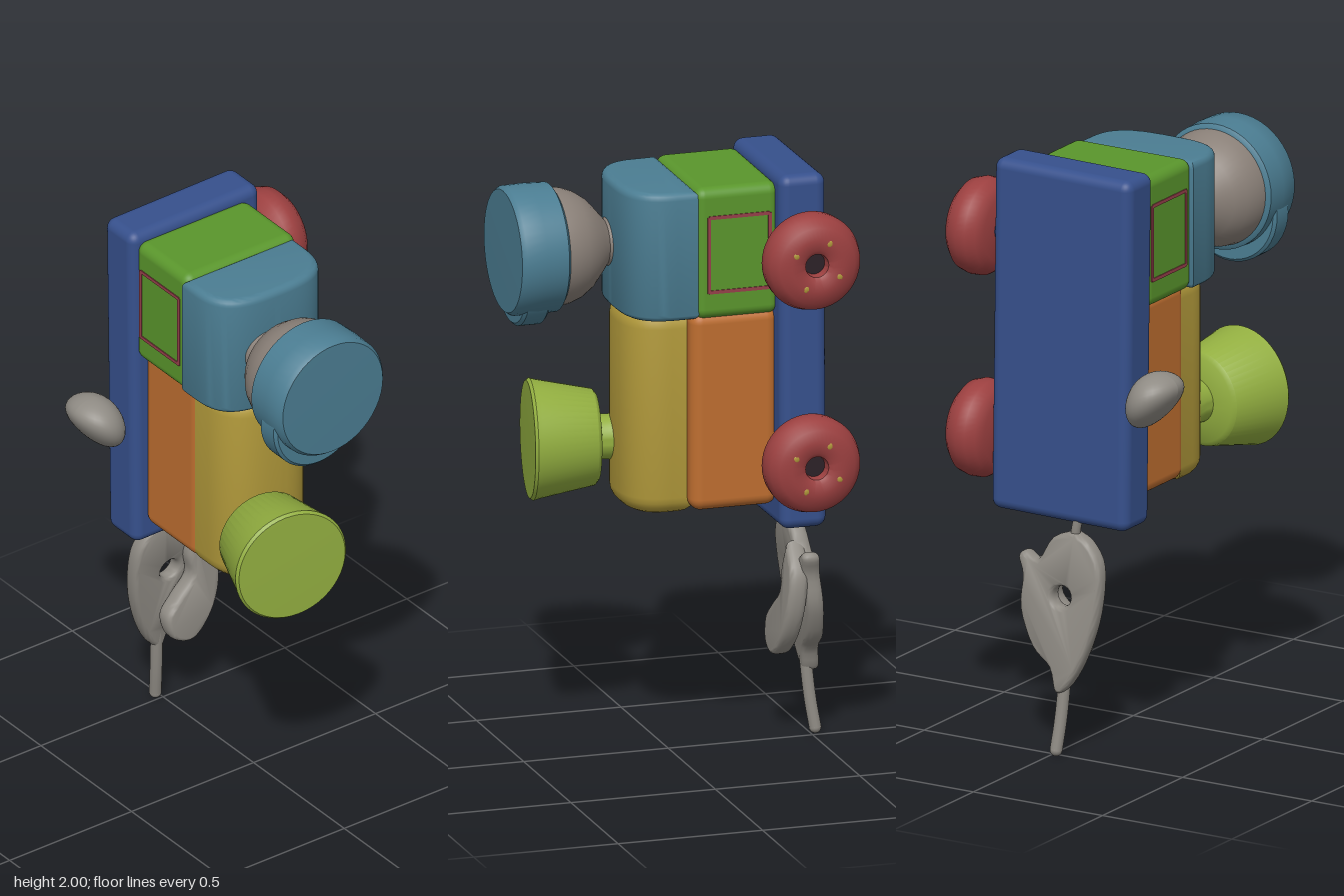
import * as THREE from 'three';
import { toCreasedNormals } from 'three/addons/utils/BufferGeometryUtils.js';
import { RoundedBoxGeometry } from 'three/addons/geometries/RoundedBoxGeometry.js';

const BLUE = 0x36508c, RED = 0x9c4040, GREEN = 0x5a962c, TEAL = 0x4b7d92, STONE = 0x8a8078,
  YELLOW = 0xb0983a, ORANGE = 0xbe6e30, LIME = 0x92ae40, GREY = 0x8f8b84, MAGENTA = 0x96404a, DARK = 0x2c2228;

export function createModel() {
  const model = new THREE.Group();

  const add = (name, geometry, color, x = 0, y = 0, z = 0) => {
    const mesh = new THREE.Mesh(geometry, new THREE.MeshStandardMaterial({ color, roughness: 0.8 }));
    mesh.name = name;
    mesh.position.set(x, y, z);
    model.add(mesh);
    return mesh;
  };
  // Rounded block given by its limits on each axis
  const block = (name, color, [x0, x1], [y0, y1], [z0, z1], r) =>
    add(name, new RoundedBoxGeometry(x1 - x0, y1 - y0, z1 - z0, 4, r), color,
      (x0 + x1) / 2, (y0 + y1) / 2, (z0 + z1) / 2);
  const lathe = (profile, segments = 48) => toCreasedNormals(
    new THREE.LatheGeometry(profile.map(([r, h]) => new THREE.Vector2(r, h)), segments), 0.7);
  const pts = (list) => list.map(([a, b]) => new THREE.Vector2(a, b));

  // Upright prism with a rounded front: flat back at zBack, section in x and z
  const roundFront = (name, color, [x0, x1], [y0, y1], zBack, zSide, zFront, bevel) => {
    const a = x0 + bevel, b = x1 - bevel, m = (a + b) / 2, f = zFront - bevel, w = (b - a) / 2;
    const s = new THREE.Shape();
    s.moveTo(a, -zBack - bevel);
    s.lineTo(a, -zSide);
    s.bezierCurveTo(a, -f + 0.01, m - w * 0.6, -f, m, -f);
    s.bezierCurveTo(m + w * 0.6, -f, b, -f + 0.01, b, -zSide);
    s.lineTo(b, -zBack - bevel);
    const g = new THREE.ExtrudeGeometry(s, {
      depth: y1 - y0 - 2 * bevel, bevelThickness: bevel, bevelSize: bevel, bevelSegments: 5, curveSegments: 16
    });
    g.rotateX(-Math.PI / 2);
    return add(name, toCreasedNormals(g, 0.7), color, 0, y0 + bevel, 0);
  };

  // Chassis board and stacked body blocks
  block('chassis', BLUE, [-0.265, 0.265], [0.79, 2.0], [-0.465, -0.305], 0.035).rotation.z = 0.012;
  block('cabRear', GREEN, [-0.25, 0.205], [1.52, 1.97], [-0.32, -0.03], 0.035);
  block('bodyRear', ORANGE, [-0.215, 0.195], [0.86, 1.54], [-0.32, -0.02], 0.04);
  roundFront('cabFront', TEAL, [-0.26, 0.195], [1.52, 1.96], -0.045, 0.03, 0.19, 0.025);
  roundFront('boiler', YELLOW, [-0.21, 0.14], [0.84, 1.54], -0.045, 0.03, 0.175, 0.06);

  // Painted window frames on the cab and dots on the body
  for (const x of [-0.25, 0.205]) {
    for (const y of [1.615, 1.87]) add('windowFrame', new THREE.BoxGeometry(0.006, 0.012, 0.21), MAGENTA, x, y, -0.18);
    for (const z of [-0.285, -0.075]) add('windowFrame', new THREE.BoxGeometry(0.006, 0.26, 0.012), MAGENTA, x, 1.742, z);
  }

  // Wheels with a sunken hub, on the model's left side
  const wheelProfile = [[0, 0], [0.11, 0], [0.145, 0.015], [0.163, 0.045], [0.165, 0.08], [0.155, 0.115],
    [0.13, 0.138], [0.09, 0.148], [0.055, 0.146], [0.04, 0.135], [0.036, 0.1]];
  for (const y of [1.735, 1.04]) {
    add('wheel', lathe(wheelProfile).rotateZ(-Math.PI / 2), RED, 0.272, y, -0.383);
    add('wheelHub', new THREE.CylinderGeometry(0.04, 0.04, 0.02, 20).rotateZ(Math.PI / 2), DARK, 0.365, y, -0.383);
    add('axle', new THREE.CylinderGeometry(0.045, 0.045, 0.08, 20).rotateZ(Math.PI / 2), BLUE, 0.26, y, -0.383);
    for (let i = 0; i < 4; i++) {
      const t = 0.5 + i * Math.PI / 2;
      add('wheelDot', new THREE.SphereGeometry(0.013, 10, 8).scale(0.4, 1, 1), YELLOW,
        0.416, y + 0.085 * Math.sin(t), -0.383 + 0.085 * Math.cos(t));
    }
  }

  // Broken stub on the other side, narrowing outwards to an upturned tip
  const stub = new THREE.SphereGeometry(1, 32, 20);
  const p = stub.attributes.position;
  for (let i = 0; i < p.count; i++) {
    const u = p.getX(i), k = 1 + 0.3 * u;
    p.setXYZ(i, u * 0.09, p.getY(i) * 0.088 * k - u * 0.04, p.getZ(i) * 0.115);
  }
  stub.computeVertexNormals();
  add('stub', stub, GREY, -0.34, 1.26, -0.415);

  // Large funnel: neck and dome with a flat cap
  add('funnelDome', lathe([[0, 0.14], [0.1, 0.14], [0.08, 0.19], [0.08, 0.2], [0.11, 0.225], [0.15, 0.26],
    [0.178, 0.3], [0.193, 0.34], [0.2, 0.38], [0.2, 0.42]]).rotateX(Math.PI / 2), STONE, -0.08, 1.735, 0);
  add('funnelCap', lathe([[0, 0.375], [0.2, 0.375], [0.215, 0.385], [0.218, 0.46], [0.216, 0.53],
    [0.205, 0.545], [0, 0.548]]).rotateX(Math.PI / 2), TEAL, -0.08, 1.735, 0);
  add('capLip', lathe([[0, 0.42], [0.17, 0.42], [0.18, 0.43], [0.18, 0.5], [0.17, 0.51], [0, 0.51]])
    .rotateX(Math.PI / 2), TEAL, -0.11, 1.652, 0);

  // Small flared funnel, leaning to the side
  add('smallFunnel', lathe([[0, 0], [0.085, 0], [0.075, 0.06], [0.075, 0.09], [0.145, 0.1], [0.16, 0.112],
    [0.198, 0.3], [0.203, 0.318], [0.195, 0.328], [0, 0.332]]).rotateX(Math.PI / 2), LIME, -0.105, 1.055, 0.11)
    .rotation.y = -0.18;

  // Hanging leaf: two curved sheets, leaning apart towards the bottom
  const sheet = (name, outline, holes, thickness, zTop, slope) => {
    const s = new THREE.Shape(new THREE.SplineCurve(pts(outline)).getPoints(60));
    for (const [x, y, r] of holes) s.holes.push(new THREE.Path().absarc(x, y, r, 0, Math.PI * 2, true));
    const b = thickness * 0.4;
    const g = new THREE.ExtrudeGeometry(s, {
      depth: thickness - 2 * b, bevelThickness: b, bevelSize: 0.015, bevelOffset: -0.015, bevelSegments: 4, curveSegments: 10
    });
    const q = g.attributes.position;
    for (let i = 0; i < q.count; i++) {
      q.setZ(i, q.getZ(i) - thickness / 2 + b + zTop + (0.75 - q.getY(i)) * slope);
    }
    return add(name, toCreasedNormals(g, 0.9), GREY);
  };
  sheet('leafBack', [[-0.05, 0.76], [-0.11, 0.73], [-0.16, 0.65], [-0.16, 0.5], [-0.125, 0.36], [-0.07, 0.25],
    [-0.02, 0.22], [0.01, 0.3], [0.08, 0.36], [0.135, 0.48], [0.135, 0.59], [0.155, 0.65], [0.13, 0.67],
    [0.08, 0.65], [0.03, 0.73], [-0.05, 0.76]], [[-0.12, 0.58, 0.017], [-0.02, 0.54, 0.035]], 0.06, -0.435, -0.125);
  sheet('leafFront', [[0.05, 0.69], [0.025, 0.6], [0.03, 0.52], [-0.03, 0.46], [-0.08, 0.4], [-0.06, 0.32],
    [0.02, 0.295], [0.1, 0.37], [0.14, 0.48], [0.13, 0.6], [0.05, 0.69]], [], 0.065, -0.43, 0.11);

  // Stalk below the leaf and the cord that holds it
  const tube = (name, list, r) => {
    const path = new THREE.CatmullRomCurve3(list.map((v) => new THREE.Vector3(...v)));
    add(name, new THREE.TubeGeometry(path, 20, r, 12), GREY);
    const end = list[list.length - 1];
    add(name + 'Tip', new THREE.SphereGeometry(r, 14, 10), GREY, ...end);
  };
  tube('stalk', [[-0.04, 0.42, -0.475], [-0.035, 0.25, -0.487], [-0.028, 0.12, -0.5], [-0.02, 0.022, -0.515]], 0.021);
  tube('cord', [[-0.04, 0.7, -0.435], [-0.05, 0.76, -0.44], [-0.06, 0.81, -0.44]], 0.016);

  return model;
}
